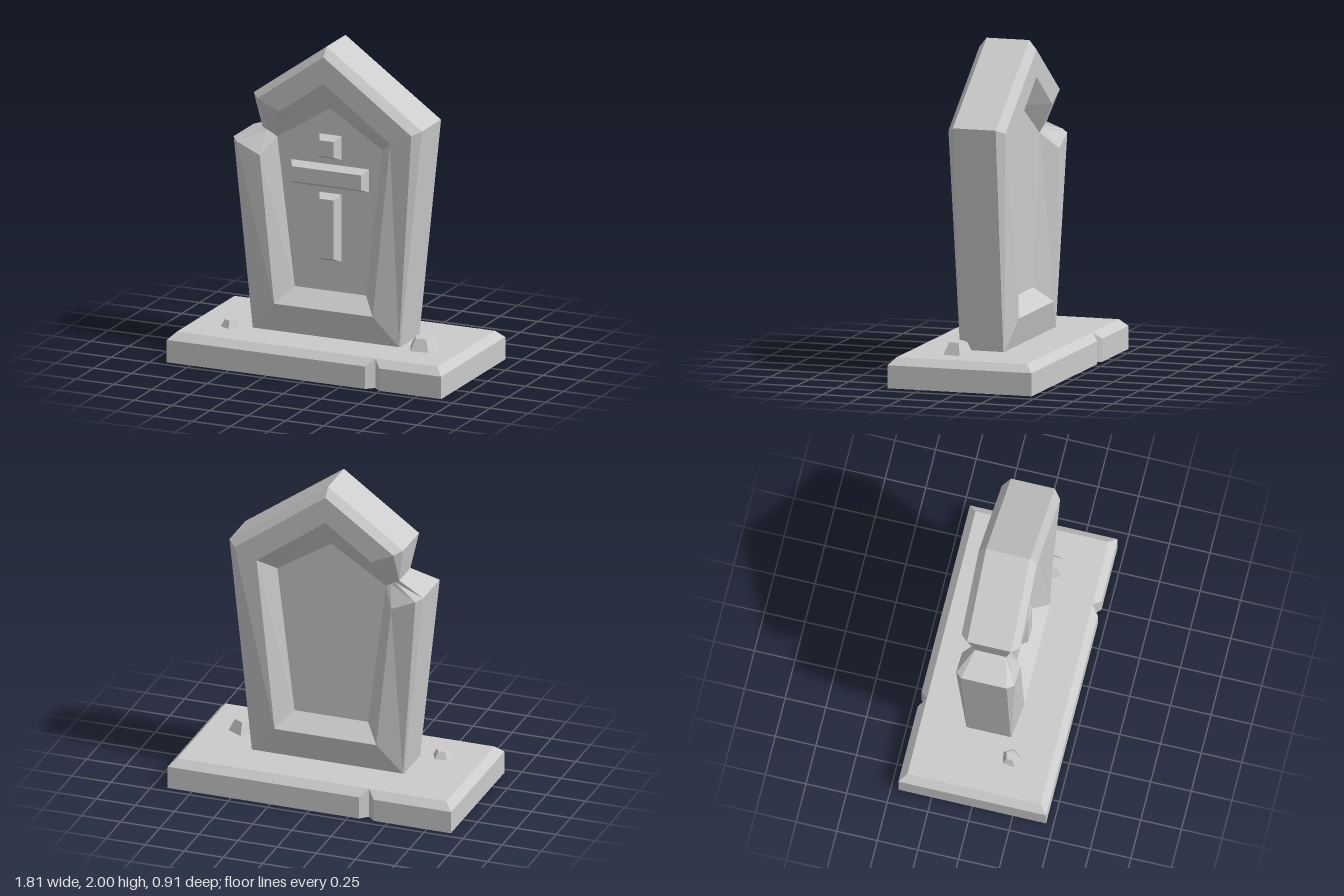
import * as THREE from 'three';

const material = new THREE.MeshStandardMaterial({ color: 0xcccccc, flatShading: true });

function addMesh(parent, name, geometry) {
  const mesh = new THREE.Mesh(geometry, material);
  mesh.name = name;
  parent.add(mesh);
  return mesh;
}

// Joins rings of points (clockwise seen from the first ring's side) and caps both ends.
function loft(rings) {
  const out = [];
  const v = (p) => new THREE.Vector3(...p);
  const tri = (a, b, c) => {
    const area = v(b).sub(v(a)).cross(v(c).sub(v(a))).length();
    if (area > 1e-7) out.push(...a, ...b, ...c);
  };
  const n = rings[0].length;
  const centre = (ring) => [0, 1, 2].map((k) =>
    (Math.min(...ring.map((p) => p[k])) + Math.max(...ring.map((p) => p[k]))) / 2);
  const first = rings[0], last = rings[rings.length - 1];
  for (let i = 0; i < n; i++) {
    const j = (i + 1) % n;
    for (let k = 0; k + 1 < rings.length; k++) {
      const r = rings[k], s = rings[k + 1];
      tri(r[i], r[j], s[j]);
      tri(r[i], s[j], s[i]);
    }
    tri(centre(first), first[j], first[i]);
    tri(centre(last), last[i], last[j]);
  }
  const geometry = new THREE.BufferGeometry();
  geometry.setAttribute('position', new THREE.Float32BufferAttribute(out, 3));
  geometry.computeVertexNormals();
  return geometry;
}

// Bevelled base with a V notch in the front and back edges
function baseGeometry() {
  const ring = (w, d, y, notch) => [
    [-w, y, -d], [-0.365 - notch, y, -d], [-0.365, y, -0.41], [-0.365 + notch, y, -d],
    [w, y, -d],
    [w, y, d], [0.45 + notch, y, d], [0.45, y, 0.41], [0.45 - notch, y, d],
    [-w, y, d],
  ];
  return loft([
    ring(0.86, 0.41, 0.185, 0),
    ring(0.905, 0.455, 0.14, 0.047),
    ring(0.905, 0.455, 0, 0.047),
  ]);
}

// Headstone: outline rings from the recessed panel out to the side walls, mirrored to the back.
// Point order: bottom left, below chip, chip valley, above chip, peak, shoulder, bottom right.
function headstoneGeometry() {
  const panel = [[-0.235, 0.46, 0.08], [-0.35, 1.38, 0.08], [-0.35, 1.38, 0.08],
    [-0.35, 1.38, 0.08], [0, 1.6, 0.08], [0.345, 1.38, 0.08], [0.235, 0.46, 0.08]];
  const rim = [[-0.325, 0.365, 0.18], [-0.42, 1.28, 0.18], [-0.38, 1.4, 0.085],
    [-0.29, 1.57, 0.18], [0, 1.78, 0.18], [0.44, 1.46, 0.18], [0.325, 0.365, 0.18]];
  const ridge = [[-0.48, 0.185, 0.14], [-0.575, 1.35, 0.18], [-0.41, 1.417, 0.09],
    [-0.435, 1.635, 0.18], [0, 1.945, 0.18], [0.58, 1.525, 0.18], [0.48, 0.185, 0.14]];
  const side = [[-0.487, 0.185, 0.135], [-0.61, 1.365, 0.14], [-0.44, 1.435, 0.095],
    [-0.48, 1.655, 0.135], [0, 2, 0.135], [0.63, 1.55, 0.135], [0.487, 0.185, 0.135]];
  const front = [panel, rim, ridge, side];
  const back = front.map((ring) => ring.map(([x, y, z]) => [x, y, -z])).reverse();
  return loft([...front, ...back]);
}

// Raised bar with bevelled edges
function barGeometry(halfWidth, bottom, top) {
  const ring = (inset, z) => {
    const w = halfWidth - inset, b = bottom + inset, t = top - inset;
    return [[-w, b, z], [-w, t, z], [w, t, z], [w, b, z]];
  };
  return loft([ring(0.026, 0.135), ring(0, 0.08)]);
}

// Five-sided pebble resting on the base
function addPebble(parent, name, radius, height, x, z, turn) {
  const pebble = addMesh(parent, name,
    new THREE.CylinderGeometry(radius * 0.6, radius, height, 5).toNonIndexed());
  pebble.position.set(x, 0.185 + height / 2, z);
  pebble.rotation.y = turn;
}

export function createModel() {
  const model = new THREE.Group();
  model.name = 'gravestone';
  addMesh(model, 'base', baseGeometry());
  addMesh(model, 'headstone', headstoneGeometry());

  // Cross made of three separate raised bars
  const cross = new THREE.Group();
  cross.name = 'cross';
  model.add(cross);
  addMesh(cross, 'crossTop', barGeometry(0.073, 1.285, 1.435));
  addMesh(cross, 'crossArm', barGeometry(0.255, 1.105, 1.25));
  addMesh(cross, 'crossStem', barGeometry(0.073, 0.65, 1.07));

  addPebble(model, 'smallPebble', 0.06, 0.045, -0.615, 0.17, 0.2);
  addPebble(model, 'largePebble', 0.095, 0.073, 0.625, 0.105, 0.75);
  return model;
}
